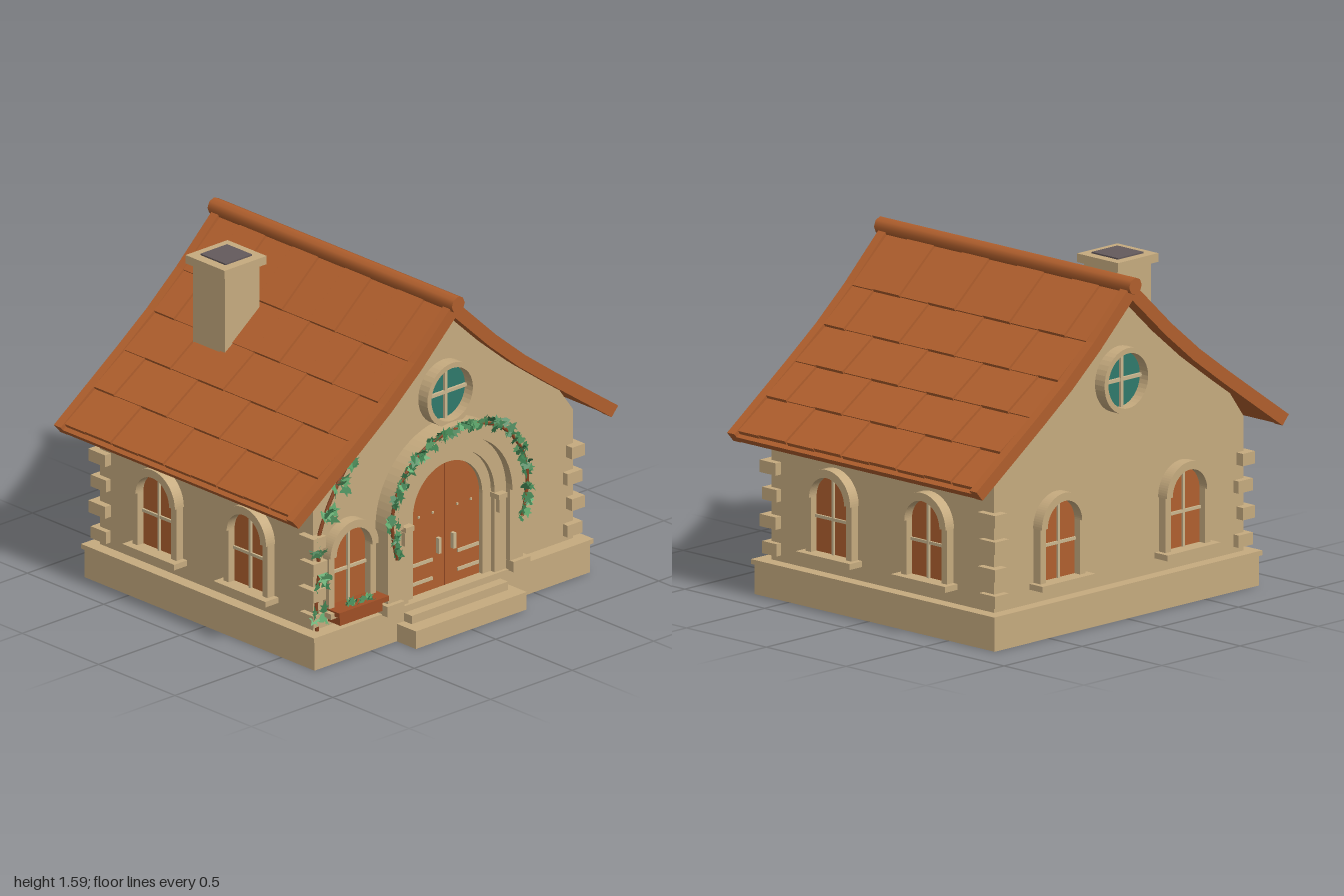
import * as THREE from 'three';
import { mergeGeometries } from 'three/addons/utils/BufferGeometryUtils.js';

const mat = (name, color, extra = {}) => {
  const m = new THREE.MeshStandardMaterial({ color, ...extra });
  m.name = name;
  return m;
};

export function createModel() {
  const house = new THREE.Group();
  house.name = 'cottage';
  const stone = mat('stone', 0xc6ab7f);
  const trim = mat('paleTrim', 0xcbb78f);
  const roofMat = mat('roofTile', 0xb05f2d);
  const wood = mat('wood', 0xb0602f);
  const planterMat = mat('planterWood', 0xa04f26);
  const glass = mat('tealGlass', 0x2f7a6c);
  const soot = mat('soot', 0x645a5c);
  const stemMat = mat('vineStem', 0x8a4522);
  const leafDark = mat('ivyGreen', 0x3f8050, { side: THREE.DoubleSide });
  const leafLight = mat('paleIvyGreen', 0x63ad70, { side: THREE.DoubleSide });

  const add = (name, geo, material, parent = house) => {
    const m = new THREE.Mesh(geo, material);
    m.name = name;
    parent.add(m);
    return m;
  };
  // Box given by its extents on each axis
  const box = (name, x0, x1, y0, y1, z0, z1, material = stone, parent = house) => {
    const m = add(name, new THREE.BoxGeometry(x1 - x0, y1 - y0, z1 - z0), material, parent);
    m.position.set((x0 + x1) / 2, (y0 + y1) / 2, (z0 + z1) / 2);
    return m;
  };
  const extrude = (name, shape, z0, z1, material, parent = house) => {
    const geo = new THREE.ExtrudeGeometry(shape, { depth: z1 - z0, bevelEnabled: false, curveSegments: 20 });
    const m = add(name, geo, material, parent);
    m.position.z = z0;
    return m;
  };
  const polygon = pts => new THREE.Shape(pts.map(p => new THREE.Vector2(p[0], p[1])));
  const archPane = (r, y0, cy) => {
    const s = new THREE.Shape();
    s.moveTo(-r, y0);
    s.lineTo(r, y0);
    s.absarc(0, cy, r, 0, Math.PI, false);
    return s;
  };
  const archBand = (ri, ro, cy) => {
    const s = new THREE.Shape();
    s.absarc(0, cy, ro, 0, Math.PI, false);
    s.absarc(0, cy, ri, Math.PI, 0, true);
    return s;
  };

  const FRONT = 0.655, BACK = -0.74, SIDE = 0.797;

  // Plinth and steps
  box('plinth', -0.845, 0.845, 0, 0.14, -0.79, 0.715);
  box('plinthLip', -0.858, 0.858, 0.14, 0.162, -0.8, 0.725);
  box('lowerStep', -0.34, 0.34, 0, 0.085, 0.6, 0.84);
  box('upperStep', -0.295, 0.295, 0.085, 0.125, 0.6, 0.765);

  // Walls with gables
  extrude('walls', polygon([[-SIDE, 0.15], [SIDE, 0.15], [SIDE, 0.786], [0.7, 0.92], [0.56, 1.02],
    [0.24, 1.27], [0, 1.5], [-0.24, 1.27], [-0.56, 1.02], [-0.7, 0.92], [-SIDE, 0.786]]), BACK, FRONT, stone);

  // Corner stones
  for (const sx of [-1, 1]) for (const front of [true, false]) for (let i = 0; i < 4; i++) {
    const y = 0.19 + i * 0.125, even = i % 2 === 0;
    const a = sx * (even ? 0.735 : 0.755), b = sx * (even ? 0.825 : 0.832);
    const d = even ? 0.09 : 0.1, out = even ? 0.032 : 0.04;
    const z0 = front ? FRONT + out - d : BACK - out, z1 = front ? FRONT + out : BACK - out + d + 0.01;
    box('cornerStone', Math.min(a, b), Math.max(a, b), y, y + 0.057, z0, z1);
  }

  // Arched windows, built facing +z on a wall at z = 0
  const archedWindow = (x, z, turn) => {
    const g = new THREE.Group();
    g.name = 'archedWindow';
    extrude('windowPane', archPane(0.112, 0.25, 0.507), 0, 0.006, wood, g);
    extrude('windowArch', archBand(0.11, 0.148, 0.507), 0, 0.055, stone, g);
    for (const s of [-1, 1]) box('windowJamb', s * 0.127 - 0.017, s * 0.127 + 0.017, 0.25, 0.507, 0, 0.042, stone, g);
    box('windowSill', -0.17, 0.17, 0.228, 0.255, 0, 0.08, stone, g);
    box('verticalBar', -0.006, 0.006, 0.255, 0.617, 0, 0.018, trim, g);
    box('crossBar', -0.11, 0.11, 0.412, 0.426, 0, 0.016, trim, g);
    g.position.set(x, 0, z);
    g.rotation.y = turn;
    house.add(g);
  };
  for (const z of [0.257, -0.34]) for (const s of [-1, 1]) archedWindow(s * SIDE, z, s * Math.PI / 2);
  for (const x of [-0.4, 0.4]) archedWindow(x, BACK, Math.PI);
  archedWindow(-0.594, FRONT, 0);

  // Round gable windows
  for (const [z, turn] of [[FRONT, 0], [BACK, Math.PI]]) {
    const g = new THREE.Group();
    g.name = 'roundWindow';
    const ring = new THREE.Shape().absarc(0, 0, 0.152, 0, Math.PI * 2, false);
    ring.holes.push(new THREE.Path().absarc(0, 0, 0.127, 0, Math.PI * 2, true));
    extrude('roundFrame', ring, 0, 0.06, stone, g);
    extrude('roundPane', new THREE.Shape().absarc(0, 0, 0.13, 0, Math.PI * 2, false), 0, 0.008, glass, g);
    box('roundVerticalBar', -0.008, 0.008, -0.127, 0.127, 0, 0.022, trim, g);
    box('roundCrossBar', -0.127, 0.127, -0.008, 0.008, 0, 0.02, trim, g);
    g.position.set(0, 1.1, z);
    g.rotation.y = turn;
    house.add(g);
  }

  // Entrance: double door inside stepped arches
  const cy = 0.552;
  extrude('doorLeaves', archPane(0.215, 0.16, cy), FRONT, FRONT + 0.009, wood);
  for (const [ri, ro, z] of [[0.213, 0.265, 0.685], [0.265, 0.335, 0.71], [0.335, 0.415, 0.752]]) {
    extrude('portalArch', archBand(ri, ro, cy), FRONT, z, stone);
    for (const s of [-1, 1]) {
      const a = s * ri, b = s * ro;
      box('portalJamb', Math.min(a, b), Math.max(a, b), 0.16, cy, FRONT, z - (ri > 0.3 ? 0.015 : 0));
    }
  }
  box('doorGap', -0.002, 0.002, 0.16, 0.76, FRONT, FRONT + 0.011, planterMat);
  for (const s of [-1, 1]) {
    const bar = (name, x, y, w, h, z, m = trim) =>
      box(name, s * x - w / 2, s * x + w / 2, y - h / 2, y + h / 2, FRONT, z, m);
    bar('columnBase', 0.387, 0.182, 0.105, 0.05, 0.76, stone);
    bar('doorHandle', 0.045, 0.37, 0.016, 0.075, 0.685);
    bar('lowerHinge', 0.142, 0.218, 0.13, 0.016, 0.67);
    bar('middleHinge', 0.142, 0.308, 0.13, 0.016, 0.67);
    for (const x of [0.075, 0.16]) bar('doorStud', x, 0.535, 0.01, 0.01, 0.67);
    // Wall lantern
    bar('lanternBracket', 0.285, 0.535, 0.052, 0.024, 0.745, stone);
    bar('lanternBody', 0.29, 0.487, 0.036, 0.065, 0.735, stone);
  }

  // Roof: sloping sheet, verge boards and staggered-height tiles
  const slope = [[0, 1.56], [0.25, 1.325], [0.43, 1.175], [0.615, 1.04], [0.8, 0.91], [1, 0.77]];
  const chevron = (top, drop) => {
    const at = d => slope.map(([x, y], i) => (i ? [x - d * 0.67, y - d * 0.75] : [0, y - d * 1.4]));
    const upper = at(top), lower = at(top + drop);
    const mirror = pts => pts.slice(1).map(([x, y]) => [-x, y]);
    return polygon([...mirror(upper).reverse(), ...upper, ...lower.slice().reverse(), ...mirror(lower)]);
  };
  extrude('roofSheet', chevron(0.022, 0.034), -0.82, 0.73, roofMat);
  extrude('frontVerge', chevron(0, 0.06), 0.69, 0.735, roofMat);
  extrude('backVerge', chevron(0, 0.06), -0.827, -0.782, roofMat);
  const joints = [0.69];
  for (let i = 0; i < 8; i++) joints.push(0.56 - i * 0.1725);
  joints.push(-0.782);
  for (const s of [-1, 1]) for (let r = 0; r < 5; r++) {
    const [ax, ay] = slope[r], [bx, by] = slope[r + 1];
    const len = Math.hypot(bx - ax, by - ay), ang = Math.atan2(by - ay, bx - ax);
    for (let c = 0; c < 9; c++) {
      const lift = (c + r) % 2 ? 0.0 : -0.006;
      const t = add('roofTile', new THREE.BoxGeometry(len - (r === 4 ? 0.02 : 0), 0.02, joints[c] - joints[c + 1] - 0.006), roofMat);
      const inset = r === 4 ? 0.01 : 0;
      t.position.set(s * ((ax + bx) / 2 + (lift - 0.012) * 0.67 - inset),
        (ay + by) / 2 + (lift - 0.012) * 0.75 + inset * 0.7, (joints[c] + joints[c + 1]) / 2);
      t.rotation.z = s * (ang + 0.05);
    }
  }
  const ridge = add('ridgeBeam', new THREE.CylinderGeometry(0.04, 0.04, 1.6, 8), roofMat);
  ridge.rotation.x = Math.PI / 2;
  ridge.position.set(0, 1.545, -0.045);

  // Chimney
  box('chimneyStack', -0.472, -0.258, 0.98, 1.51, -0.48, -0.27);
  box('chimneyCap', -0.495, -0.237, 1.508, 1.548, -0.503, -0.247);
  box('chimneyFlue', -0.447, -0.283, 1.54, 1.555, -0.457, -0.293, soot);

  // Window box
  box('planterRim', -0.74, -0.435, 0.238, 0.262, FRONT, 0.765, planterMat);
  box('planterBox', -0.72, -0.46, 0.192, 0.24, FRONT, 0.75, planterMat);

  // Climbing plants
  let seed = 7;
  const rnd = () => (seed = (seed * 16807) % 2147483647) / 2147483647;
  const leafShape = polygon([[0, -0.45], [0.4, -0.3], [0.25, 0], [0.5, 0.2], [0.18, 0.22], [0, 0.65],
    [-0.18, 0.22], [-0.5, 0.2], [-0.25, 0], [-0.4, -0.3]]);
  const leaf = (p, size, spread) => {
    const g = new THREE.ShapeGeometry(leafShape);
    const scale = size * (0.75 + rnd() * 0.5);
    g.scale(scale, scale, scale);
    g.rotateX((rnd() - 0.5) * 1.6);
    g.rotateY((rnd() - 0.5) * 1.6);
    g.rotateZ(rnd() * Math.PI * 2);
    g.translate(p.x + (rnd() - 0.5) * spread, p.y + (rnd() - 0.5) * spread, p.z + rnd() * 0.02);
    return g;
  };
  const path = (pts, z) => new THREE.CatmullRomCurve3(pts.map(([x, y]) => new THREE.Vector3(x, y, z)));
  const stem = (name, curve, r) => add(name, new THREE.TubeGeometry(curve, 40, r, 6), stemMat);

  const garland = path([[-0.38, 0.42], [-0.405, 0.52], [-0.41, 0.64], [-0.36, 0.78], [-0.25, 0.89], [-0.1, 0.945],
    [0.1, 0.945], [0.25, 0.89], [0.36, 0.78], [0.415, 0.64], [0.41, 0.52], [0.385, 0.42]], 0.762);
  stem('garlandStem', garland, 0.008);
  const dark = [], light = [];
  for (let i = 0; i <= 130; i++) (i % 4 ? dark : light).push(leaf(garland.getPointAt(i / 130), 0.048, 0.045));

  const vine = path([[-0.785, 0.16], [-0.79, 0.3], [-0.772, 0.45], [-0.782, 0.58], [-0.73, 0.72], [-0.65, 0.85], [-0.55, 0.97]], 0.668);
  stem('wallVineStem', vine, 0.009);
  for (const t of [0.1, 0.28, 0.47, 0.64, 0.8, 0.95])
    for (let i = 0; i < 6; i++) (i % 3 ? light : dark).push(leaf(vine.getPointAt(t).add(new THREE.Vector3(0, 0, 0.012)), 0.058, 0.065));
  for (const x of [-0.645, -0.59, -0.535])
    for (let i = 0; i < 5; i++) (i % 2 ? dark : light).push(leaf(new THREE.Vector3(x, 0.272, 0.725), 0.04, 0.035));
  add('darkLeaves', mergeGeometries(dark), leafDark);
  add('paleLeaves', mergeGeometries(light), leafLight);

  return house;
}
